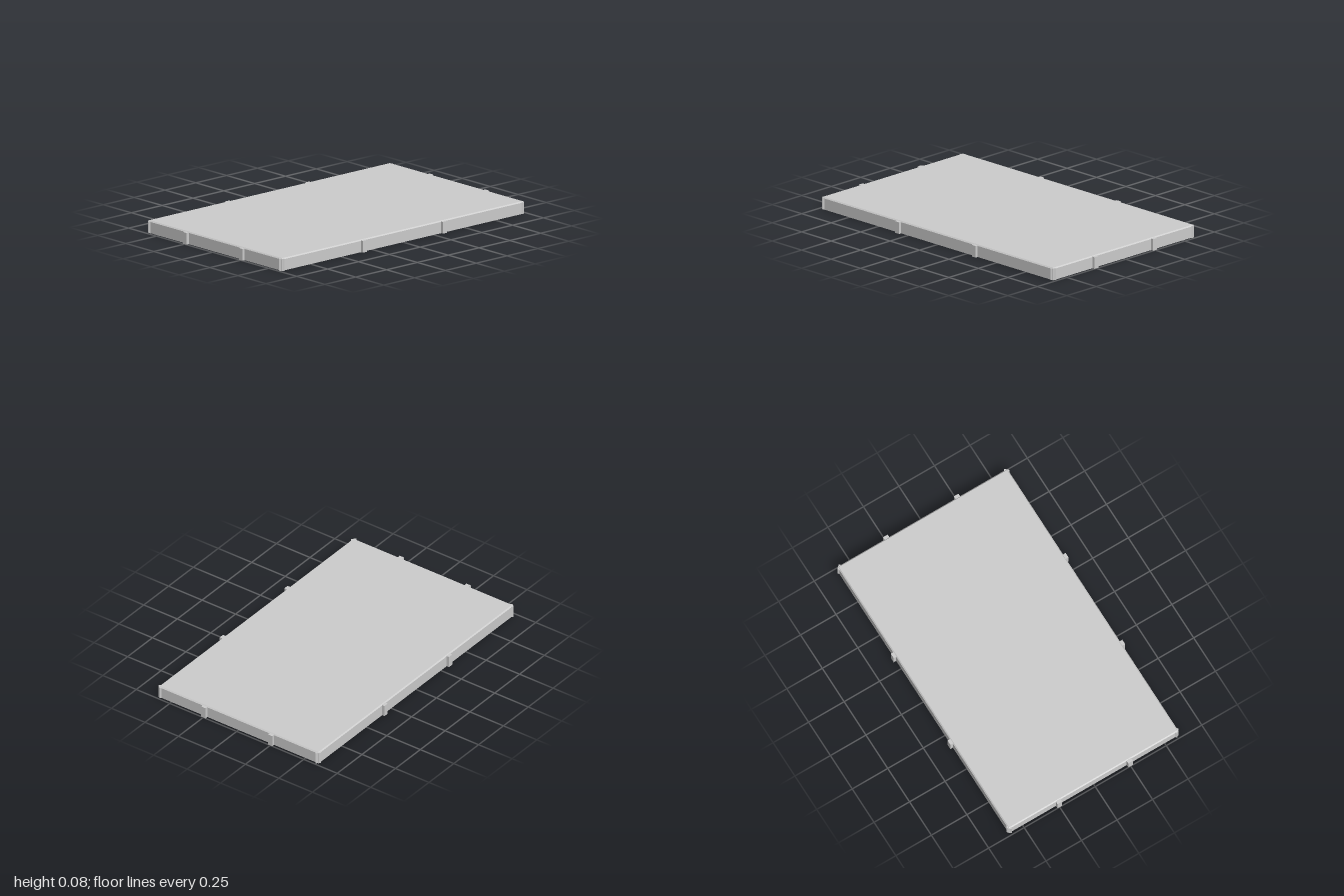
import * as THREE from 'three';

const HX = 0.982, HZ = 0.598; // half size of the panel
const H = 0.077, LIP = 0.07;  // overall height, top of the skirt
const BEVEL = 0.007, WALL = 0.007;

export function createModel() {
  const model = new THREE.Group();
  const material = new THREE.MeshStandardMaterial({ color: 0xcccccc, flatShading: true });

  const add = (name, geometry, x, y, z, turn = 0) => {
    const mesh = new THREE.Mesh(geometry, material);
    mesh.name = name;
    mesh.position.set(x, y, z);
    mesh.rotation.y = turn;
    model.add(mesh);
    return mesh;
  };

  // Thin top panel, its upper edge drawn in to a small bevel
  const top = new THREE.BoxGeometry(2 * HX, H - LIP, 2 * HZ);
  const p = top.attributes.position;
  for (let i = 0; i < p.count; i++) {
    if (p.getY(i) > 0) {
      p.setX(i, p.getX(i) - Math.sign(p.getX(i)) * BEVEL);
      p.setZ(i, p.getZ(i) - Math.sign(p.getZ(i)) * BEVEL);
    }
  }
  top.computeVertexNormals();
  add('topPanel', top, 0, (H + LIP) / 2, 0);

  // Skirt: a rectangular frame, open underneath
  const rect = (Target, x, z) => {
    const path = new Target();
    path.moveTo(-x, -z);
    path.lineTo(x, -z);
    path.lineTo(x, z);
    path.lineTo(-x, z);
    path.closePath();
    return path;
  };
  const frame = rect(THREE.Shape, HX, HZ);
  frame.holes.push(rect(THREE.Path, HX - WALL, HZ - WALL));
  const skirt = new THREE.ExtrudeGeometry(frame, { depth: LIP, bevelEnabled: false });
  skirt.rotateX(-Math.PI / 2);
  add('skirt', skirt, 0, 0, 0);

  // Ribs straddling the skirt, two on each side
  const rib = new THREE.BoxGeometry(0.033, 0.073, 0.03);
  for (const s of [-1, 1]) {
    for (const t of [-1, 1]) {
      add('longSideRib', rib, t * 0.325, 0.0365, s * (0.615 - 0.015));
      add('shortSideRib', rib, s * (1 - 0.015), 0.0365, t * 0.249, Math.PI / 2);
    }
  }

  // Diagonal plates across the corners
  const corner = new THREE.BoxGeometry(0.033, 0.073, 0.014);
  for (const sx of [-1, 1]) {
    for (const sz of [-1, 1]) {
      add('cornerPlate', corner, sx * 0.975, 0.0365, sz * 0.590, Math.atan2(sx, sz));
    }
  }
  return model;
}
